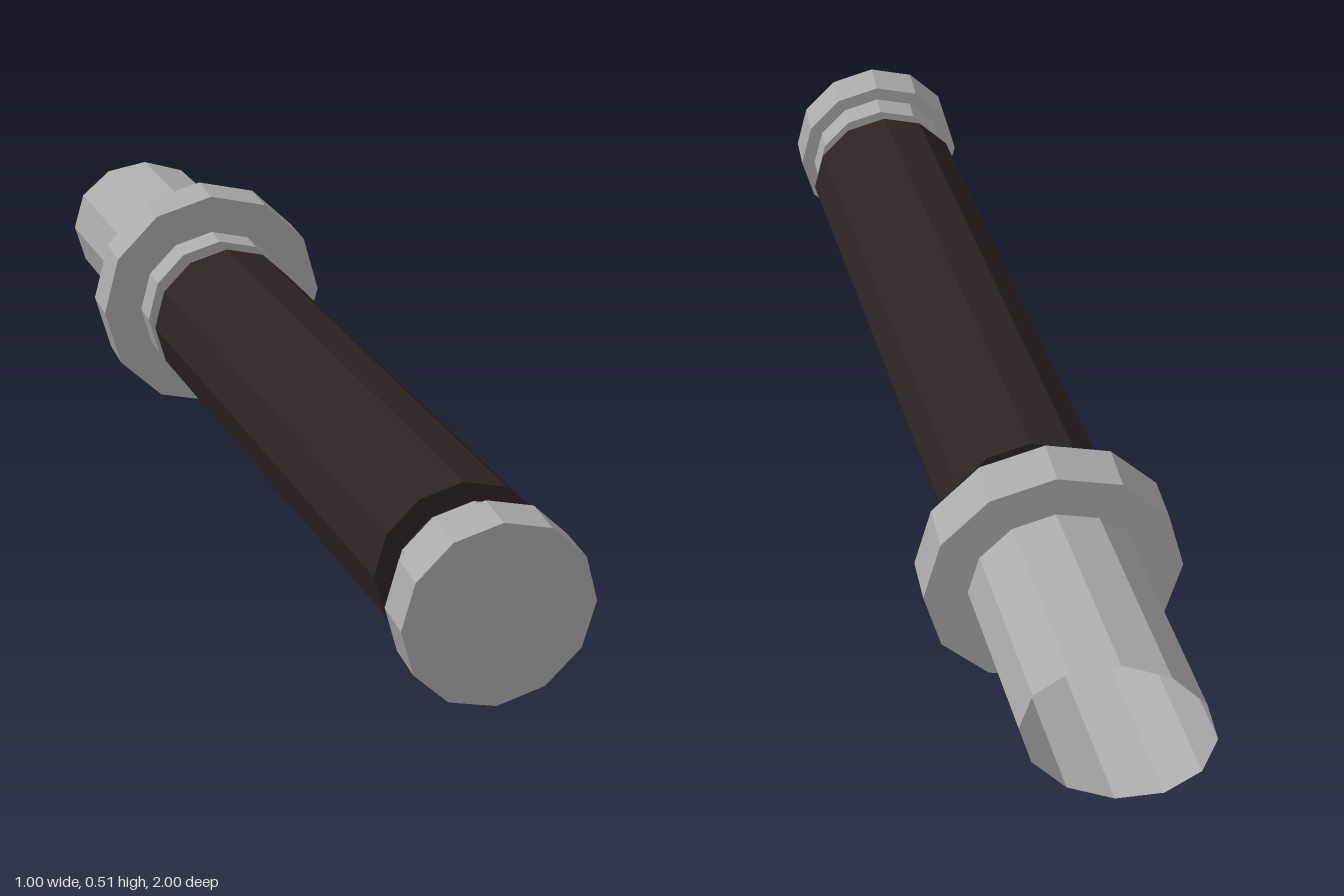
import * as THREE from 'three';

const SIDES = 12, MID_Y = 0.255, TILT = Math.PI / 12;
const ACROSS_X = Math.cos(TILT), ACROSS_Z = -Math.sin(TILT);

// Twelve-sided drum between two [x, z] centres; its end discs keep a fixed 15 degree turn.
function drum(name, material, r, a, b, open = false) {
  const geo = new THREE.CylinderGeometry(r, r, 1, SIDES, 1, open);
  const p = geo.attributes.position;
  for (let i = 0; i < p.count; i++) {
    const t = p.getY(i) + 0.5, u = p.getX(i), v = -p.getZ(i);
    p.setXYZ(i,
      a[0] + (b[0] - a[0]) * t + u * ACROSS_X,
      MID_Y + v,
      a[1] + (b[1] - a[1]) * t + u * ACROSS_Z);
  }
  geo.computeVertexNormals();
  const mesh = new THREE.Mesh(geo, material);
  mesh.name = name;
  return mesh;
}

export function createModel() {
  const metal = new THREE.MeshStandardMaterial({ color: 0xaaaaaa, flatShading: true, side: THREE.DoubleSide });
  metal.name = 'grey metal';
  const grip = new THREE.MeshStandardMaterial({ color: 0x2d2323, flatShading: true });
  grip.name = 'dark brown grip';

  const group = new THREE.Group();
  group.name = 'handle';

  // Grip and its narrow necks
  group.add(drum('gripBody', grip, 0.168, [-0.137, -0.404], [0.269, 0.76]));
  group.add(drum('rearNeck', grip, 0.125, [-0.155, -0.46], [-0.137, -0.404]));
  group.add(drum('frontNeck', grip, 0.122, [0.269, 0.76], [0.284, 0.815]));

  // Pommel at the front end
  group.add(drum('pommelCollar', metal, 0.155, [0.282, 0.81], [0.296, 0.866]));
  group.add(drum('pommelCap', metal, 0.185, [0.296, 0.866], [0.318, 0.952]));

  // Guard flange and its collar
  group.add(drum('guardCollar', metal, 0.169, [-0.169, -0.512], [-0.151, -0.451]));
  group.add(drum('guardFlange', metal, 0.2535, [-0.195, -0.609], [-0.169, -0.512]));

  // Open rear socket, its rim cut flat across z = -1
  const slope = 0.338;
  const socket = drum('rearSocket', metal, 0.168, [-0.327, -1], [-0.195, -0.609], true);
  const p = socket.geometry.attributes.position;
  for (let i = 0; i < p.count; i++) {
    if (p.getZ(i) > -0.8) continue;
    p.setX(i, p.getX(i) - slope * (p.getZ(i) + 1));
    p.setZ(i, -1);
  }
  socket.geometry.computeVertexNormals();
  group.add(socket);

  return group;
}
